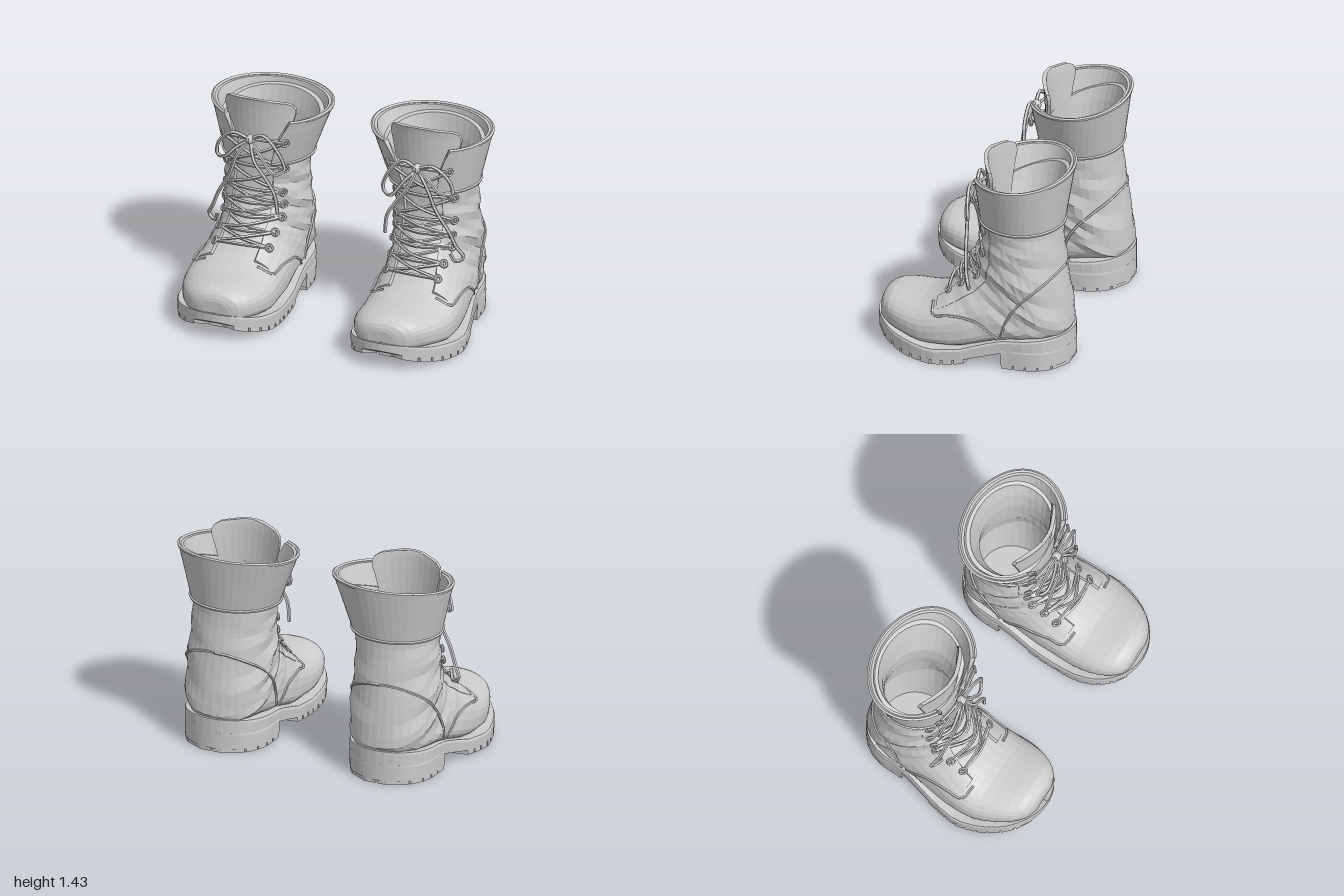
import * as THREE from 'three';

const mat = new THREE.MeshStandardMaterial({ color: 0xcccccc, flatShading: true });
const V = (x, y, z) => new THREE.Vector3(x, y, z);
const lerp = THREE.MathUtils.lerp;
const range = (n, f) => Array.from({ length: n + 1 }, (_, i) => f(i / n, i));

// piecewise-linear lookup in [[key, value], ...] with rising keys
function look(table, k) {
  for (let i = 1; i < table.length; i++) {
    const [a, b] = [table[i - 1], table[i]];
    if (k <= b[0]) return lerp(a[1], b[1], Math.max(0, (k - a[0]) / (b[0] - a[0])));
  }
  return table[table.length - 1][1];
}

// closed loft through rings of points, capped at both ends, always facing outward
function loft(rings) {
  const n = rings[0].length, pts = rings.flat(), idx = [];
  for (let r = 0; r < rings.length - 1; r++) for (let i = 0; i < n; i++) {
    const a = r * n + i, b = r * n + (i + 1) % n;
    idx.push(a, b, a + n, b, b + n, a + n);
  }
  [0, rings.length - 1].forEach((r, end) => {
    const c = V(0, 0, 0);
    rings[r].forEach(p => c.addScaledVector(p, 1 / n));
    pts.push(c);
    for (let i = 0; i < n; i++) {
      const a = r * n + i, b = r * n + (i + 1) % n;
      idx.push(pts.length - 1, end ? a : b, end ? b : a);
    }
  });
  let volume = 0;
  for (let i = 0; i < idx.length; i += 3)
    volume += pts[idx[i]].dot(V(0, 0, 0).crossVectors(pts[idx[i + 1]], pts[idx[i + 2]]));
  if (volume < 0) idx.reverse();
  const g = new THREE.BufferGeometry().setFromPoints(pts);
  g.setIndex(idx);
  g.computeVertexNormals();
  return g;
}

const tube = (pts, r, seg = pts.length * 4) =>
  new THREE.TubeGeometry(new THREE.CatmullRomCurve3(pts), seg, r, 5);

// upper: tilted sections fanning from toe to ankle to shaft
// [back z, back y, front z, front y, half width, centre x, widest point, squareness of back half]
const SECTIONS = [
  [.635, .15, .64, .27, .09, -.015, .45, .7], [.61, .13, .622, .315, .165, -.01, .45, .65],
  [.53, .12, .555, .35, .24, 0, .45, .6], [.43, .11, .44, .357, .288, .01, .42, .55],
  [.3, .09, .32, .365, .315, .025, .4, .5], [.15, .09, .22, .4, .32, .03, .4, .5],
  [0, .1, .15, .45, .315, .025, .38, .5], [-.2, .16, .1, .5, .303, .015, .36, .5],
  [-.45, .19, .06, .56, .295, .01, .38, .6], [-.635, .21, .02, .61, .29, 0, .42, .85],
  [-.655, .31, -.03, .68, .293, 0, .45, .95], [-.63, .5, -.06, .75, .293, 0, .48, 1],
  [-.605, .7, -.075, .84, .28, 0, .5, 1], [-.585, .85, -.075, .92, .28, -.005, .5, 1],
  [-.575, 1, -.07, 1, .285, -.01, .5, 1], [-.59, 1.18, -.07, 1.07, .32, -.025, .5, 1],
  [-.612, 1.32, -.075, 1.13, .352, -.03, .5, 1],
];
const LAST = SECTIONS.length - 1;

function section(v) {
  const i = Math.min(LAST - 1, Math.floor(v)), t = v - i;
  const at = k => SECTIONS[Math.max(0, Math.min(LAST, k))];
  return SECTIONS[0].map((_, c) => {
    const [p, q, r, s] = [at(i - 1)[c], at(i)[c], at(i + 1)[c], at(i + 2)[c]];
    return q + .5 * t * (r - p + t * (2 * p - 5 * q + 4 * r - s + t * (3 * (q - r) + s - p)));
  });
}

// point on the upper: a = 0 is the front or instep, PI the back or sole
function upper(v, a, off = 0) {
  const [bz, by, fz, fy, hw, cx, m, eb] = section(v);
  const c = Math.cos(a), s = Math.sin(a), e = c < 0 ? eb : .88;
  const k = Math.abs(c) ** e, cz = lerp(bz, fz, m), cy = lerp(by, fy, m);
  const d = V(Math.sign(s) * hw * Math.abs(s) ** e,
    k * ((c > 0 ? fy : by) - cy), k * ((c > 0 ? fz : bz) - cz));
  // leather creases round the ankle and over the vamp
  const fold = .012 * Math.sin(v * 4.2 + 2 * Math.sin(a * 2)) * Math.abs(s) * Math.exp(-(((v - 10.5) / 3) ** 2));
  return V(cx, cy, cz).add(d).addScaledVector(d.clone().normalize(), off + fold);
}

// closest point of the upper under a distance rule
function snap(dist, a0, a1, off) {
  let best = Infinity, hit;
  for (let v = 0; v <= LAST; v += .1) for (let a = a0; a <= a1; a += .04) {
    const d = dist(upper(v, a));
    if (d < best) { best = d; hit = [v, a]; }
  }
  return upper(hit[0], hit[1], off);
}
const onSide = (z, y, s) => snap(p => (p.z - z) ** 2 + (p.y - y) ** 2, s > 0 ? .1 : -3.1, s > 0 ? 3.1 : -.1, .004);
const onFront = (x, y, off) => snap(p => (p.x - x) ** 2 + (p.y - y) ** 2 + (p.z < -.25 ? 1 : 0), -1.4, 1.4, off);

// sole plan and height profiles along z
const soleCentre = z => look([[-.67, 0], [-.3, 0], [.2, .035], [.45, .01], [.67, -.01]], z);
function soleHalf(z) {
  if (z > .2) return .365 * Math.sqrt(Math.max(0, 1 - ((z - .2) / .47) ** 2.1));
  if (z < -.35) return .3 * Math.sqrt(Math.max(0, 1 - ((-.35 - z) / .32) ** 2.3));
  return lerp(.3, .365, THREE.MathUtils.smoothstep(z, -.35, .2));
}
const soleTop = z => look([[-.67, .235], [-.27, .2], [-.2, .185], [0, .125], [.2, .105], [.5, .145], [.67, .195]], z);
const soleLow = z => look([[-.67, .11], [-.26, .11], [-.1, .07], [0, .045], [.2, .03], [.4, .045], [.6, .095], [.67, .14]], z);
function soleRing(z0, z1, yOf, f) {
  const zs = range(24, t => lerp(z0, z1, .5 - .5 * Math.cos(Math.PI * t)));
  const side = s => zs.map(z => V(soleCentre(z) + s * f * soleHalf(z), yOf(z), z));
  return [...side(1), ...side(-1).reverse()];
}
const solid = (z0, z1, top, low) => loft([
  soleRing(z0, z1, top, 0), soleRing(z0, z1, top, .98), soleRing(z0, z1, z => top(z) - .015, 1),
  soleRing(z0, z1, low, .99), soleRing(z0, z1, low, 0)]);

// tread block following the sole outline between two width fractions
function lug(z0, z1, f0, f1, drop, slant) {
  const g = new THREE.BoxGeometry(1, 1, 1), p = g.attributes.position;
  for (let i = 0; i < p.count; i++) {
    const f = lerp(f0, f1, p.getX(i) + .5), z = lerp(z0, z1, p.getZ(i) + .5);
    p.setXYZ(i, soleCentre(z) + f * soleHalf(z), drop(z) + (p.getY(i) > 0 ? .04 : 0), z - slant * (1 - Math.abs(f)));
  }
  g.computeVertexNormals();
  return g;
}

// flared cuff, open at the front
function cuff(t, u, off) {
  const gap = lerp(.4, .6, t * t), a = lerp(gap, 2 * Math.PI - gap, u), c = Math.cos(a);
  const depth = c > 0 ? lerp(.29, .35, t) : lerp(.268, .305, t);
  return V(lerp(-.012, -.036, t) + Math.sin(a) * (lerp(.302, .41, t) + off),
    lerp(.975, 1.325 - .025 * c, t), lerp(-.32, -.335, t) + c * (depth + off));
}

function makeBoot() {
  const boot = new THREE.Group();
  const add = (name, g) => {
    const m = new THREE.Mesh(g, mat);
    m.name = name;
    boot.add(m);
    return m;
  };

  // leather upper, turned over at the top into a lining and insole
  const around = f => range(31, (_, i) => f(i / 32 * 2 * Math.PI));
  const ring = (v, off) => around(a => upper(v, a, off));
  add('upper', loft([...range(LAST * 2, (_, i) => ring(i / 2, 0)),
    ...range(5, t => ring(lerp(LAST, 11, t), -.035)),
    around(a => V(Math.sin(a) * .21, .27, -.33 + Math.cos(a) * .23))]));

  // cuff with piping on its rim and a welt below
  add('cuff', loft(range(36, u => [
    ...range(4, t => cuff(t, u, 0)), ...range(4, t => cuff(1 - t, u, -.035))])));
  add('cuffPiping', tube(range(30, u => cuff(1, u, -.005)), .013));
  add('cuffWelt', tube(range(30, u => cuff(.02, u, .002)), .01));

  // tongue, curved and rounded at the top
  add('tongue', loft(range(10, t => {
    const y = lerp(.95, 1.43, Math.sin(t * Math.PI / 2));
    const w = lerp(.17, .25, Math.min(1, t * 1.6)) * Math.max(.3, Math.sqrt(1 - t ** 10));
    const face = d => range(10, k => {
      const x = lerp(-w, w, k);
      return V(x - .015, y - .5 * x * x * t, lerp(-.09, -.055, t) - 1.5 * x * x - d);
    });
    return [...face(0), ...face(.025).reverse()];
  })));

  // sole, heel and tread
  add('sole', solid(-.67, .67, soleTop, soleLow));
  add('heel', solid(-.67, -.26, () => .14, () => .025));
  for (let i = 0; i < 9; i++) {
    const z = -.02 + i * .074, ground = q => soleLow(q) - .03;
    for (const s of [-1, 1]) add('treadLug', lug(z, z + .062, s > 0 ? .34 : -.985, s > 0 ? .985 : -.34, ground, .05));
    if (i < 8) add('treadLug', lug(z + .01, z + .055, -.24, .24, ground, 0));
  }
  for (let i = 0; i < 5; i++) for (const s of [-1, 1]) {
    const z = -.66 + i * .08;
    add('heelLug', lug(z, z + .07, s > 0 ? .08 : -.985, s > 0 ? .985 : -.08, () => 0, 0));
  }

  for (const s of [-1, 1]) {
    // eyelet facing beside the tongue, thinning into the side of the upper
    add('eyeletFacing', loft(range(24, t => {
      const v = lerp(5.1, 14.2, t);
      const strip = (o0, o1) => range(5, k => upper(v, s * lerp(.42, .85, k), lerp(o0, o1, k)));
      return [...strip(.02, .002), ...strip(-.012, -.012).reverse()];
    })));
    // raised seams of quarter and heel counter
    const seam = (pts, ...end) => tube([...pts.map(([z, y]) => onSide(z, y, s)), ...end], .009);
    add('quarterSeam', seam([[.23, .37], [.2, .32], [.1, .335], [0, .335], [-.1, .31], [-.18, .26], [-.23, .2]]));
    add('counterSeam', seam([[-.26, .23], [-.29, .34], [-.36, .45], [-.46, .56], [-.54, .63]],
      upper(11.85, s * (Math.PI - .3), .004), upper(11.9, Math.PI, .004)));
  }

  // eyelets and criss-cross laces
  const rows = [[.44, .17], [.52, .18], [.6, .19], [.68, .19], [.77, .19], [.94, .19], [1.16, .22]];
  const eye = (i, s) => i < 6 ? onFront(s * rows[i][1], rows[i][0], .03) : V(s * rows[i][1] - .02, rows[i][0], -.035);
  const mid = (y, off) => y < 1.05 ? onFront(0, y, off) : V(-.01, y, -.02 + off / 2);
  rows.forEach(([y], i) => {
    for (const s of [-1, 1]) {
      const p = eye(i, s), e = add('eyelet', new THREE.TorusGeometry(.022, .009, 5, 10));
      e.position.copy(p);
      e.lookAt(p.clone().add(V(s * .6, y < .65 ? .6 : 0, .6)));
      if (i < 6) {
        const q = eye(i + 1, -s);
        add('lace', tube([p, mid((y + rows[i + 1][0]) / 2, s > 0 ? .05 : .035), q], .011, 10));
      }
    }
    add('laceBar', tube([eye(i, -1), mid(y + .01, .03), eye(i, 1)], .011, 10));
  });

  // bow with two loops and two loose ends
  const knot = add('knot', new THREE.SphereGeometry(.035, 8, 6));
  knot.position.set(-.01, 1.17, .005);
  const cord = pts => tube(pts.map(p => V(...p)), .013);
  const k = [-.01, 1.17, .01];
  add('bowLoop', cord([k, [.1, 1.21, .02], [.21, 1.12, .0], [.23, 1.02, -.01], [.16, 1.03, .03], [.08, 1.11, .03], k]));
  add('bowLoop', cord([k, [-.1, 1.22, .02], [-.2, 1.13, .02], [-.25, .99, .01], [-.19, .96, .04], [-.09, 1.08, .04], k]));
  add('laceEnd', cord([k, [.07, 1.06, .04], [.13, .9, .03], [.21, .76, .01], [.26, .64, -.01], [.3, .56, -.04], [.25, .53, -.02], [.22, .6, .01]]));
  add('laceEnd', cord([k, [-.06, 1.04, .06], [-.14, .93, .06], [-.2, .83, .06], [-.22, .69, .05]]));
  return boot;
}

export function createModel() {
  const model = new THREE.Group();
  const left = makeBoot(), right = makeBoot();
  left.name = 'leftBoot';
  right.name = 'rightBoot';
  // mirror the right boot's geometry and reverse its faces
  right.children.forEach(m => {
    m.updateMatrix();
    m.geometry.applyMatrix4(m.matrix).scale(-1, 1, 1);
    m.geometry.index.array.reverse();
    m.position.set(0, 0, 0);
    m.rotation.set(0, 0, 0);
  });
  left.position.x = .6;
  right.position.x = -.6;
  model.add(left, right);
  return model;
}
